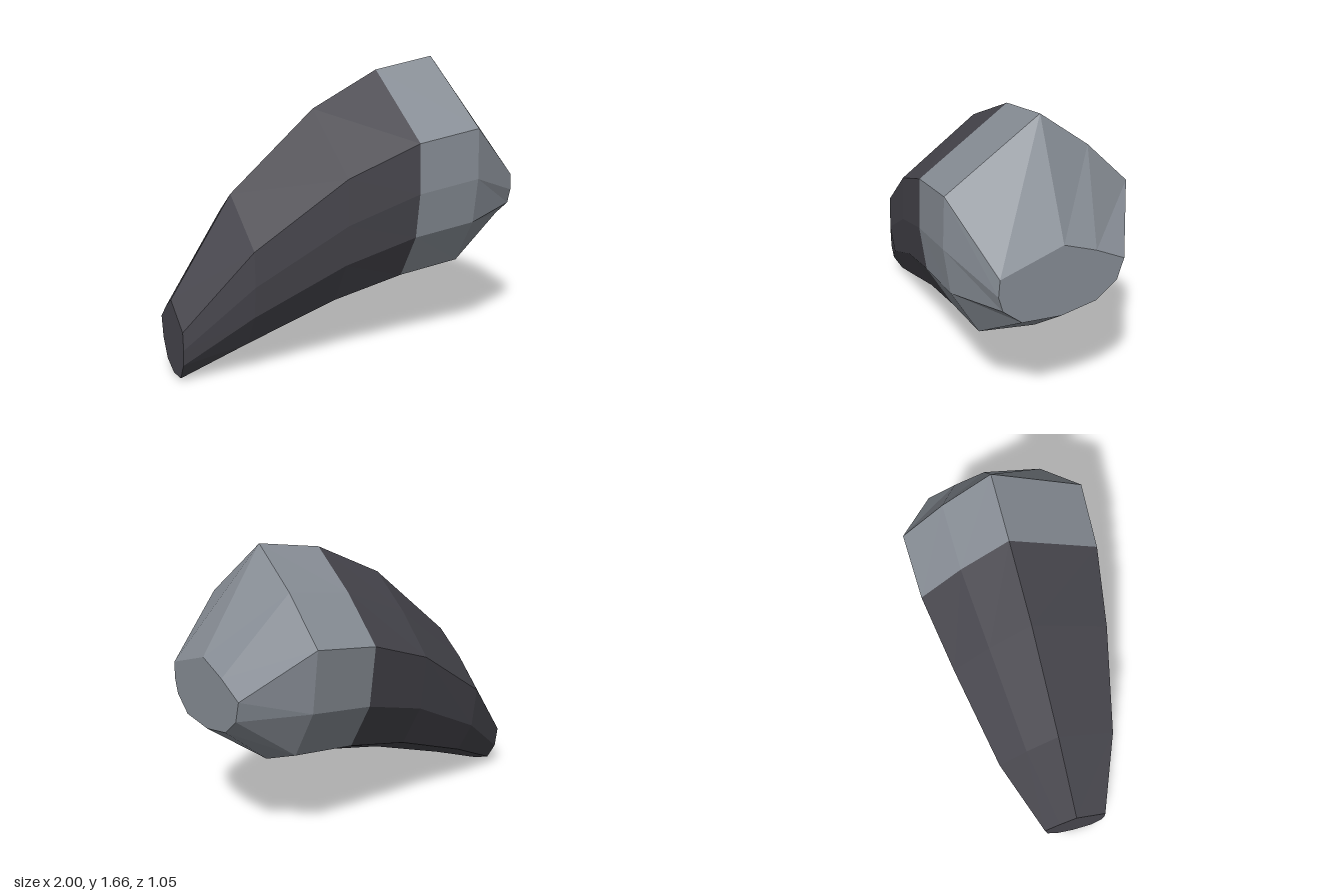
import * as THREE from 'three';

// Shared ten-sided cross-section: [z from -1 to 1, y from 0 to 1], from the top ridge round the front
const PROFILE = [
  [0, 1], [0.98, 0.711], [1, 0.475], [0.93, 0.26], [0.63, 0.037],
  [0, 0], [-0.57, 0.103], [-0.9, 0.34], [-1, 0.63], [-0.53, 0.83],
];

// Stations along the curve: x, bottom y, top y, centre z, half width
const STATIONS = [
  [-1, 0.005, 0.435, 0.05, 0.19],
  [-0.63, 0.15, 0.98, 0.025, 0.34],
  [-0.12, 0.325, 1.41, 0.01, 0.445],
  [0.29, 0.415, 1.605, 0, 0.51],
  [0.66, 0.455, 1.665, 0, 0.525],
  [1, 0.71, 1.107, 0.03, 0.35],
];

const ring = ([x, y0, y1, cz, half]) =>
  PROFILE.map(([z, y]) => [x, y0 + y * (y1 - y0), cz + z * half]);

function meshFrom(name, positions, material) {
  const geometry = new THREE.BufferGeometry();
  geometry.setAttribute('position', new THREE.Float32BufferAttribute(positions.flat(), 3));
  geometry.computeVertexNormals(); // unshared corners keep every facet flat
  const mesh = new THREE.Mesh(geometry, material);
  mesh.name = name;
  return mesh;
}

// Skin joining consecutive cross-sections
function skin(name, stations, material) {
  const rings = stations.map(ring);
  const positions = [];
  for (let i = 0; i < rings.length - 1; i++) {
    for (let j = 0; j < PROFILE.length; j++) {
      const k = (j + 1) % PROFILE.length;
      const a = rings[i][j], b = rings[i][k], c = rings[i + 1][k], d = rings[i + 1][j];
      positions.push(a, b, c, a, c, d);
    }
  }
  return meshFrom(name, positions, material);
}

// Flat end face closing one cross-section
function cap(name, station, facesRight, material) {
  const points = ring(station);
  if (!facesRight) points.reverse();
  const positions = [];
  for (let j = 1; j < points.length - 1; j++) positions.push(points[0], points[j], points[j + 1]);
  return meshFrom(name, positions, material);
}

export function createModel() {
  const group = new THREE.Group();
  group.name = 'curvedHandle';

  const darkGrip = new THREE.MeshStandardMaterial({ color: 0x47464d });
  darkGrip.name = 'dark grip';
  const greyMetal = new THREE.MeshStandardMaterial({ color: 0x878d95 });
  greyMetal.name = 'grey metal';

  // Tapering curved body
  group.add(skin('body', STATIONS.slice(0, 4), darkGrip));
  group.add(cap('tipFace', STATIONS[0], false, darkGrip));

  // Pale collar with its sloping shoulder and end face
  group.add(skin('collar', STATIONS.slice(3, 5), greyMetal));
  group.add(skin('shoulder', STATIONS.slice(4), greyMetal));
  group.add(cap('endFace', STATIONS[5], true, greyMetal));

  return group;
}
